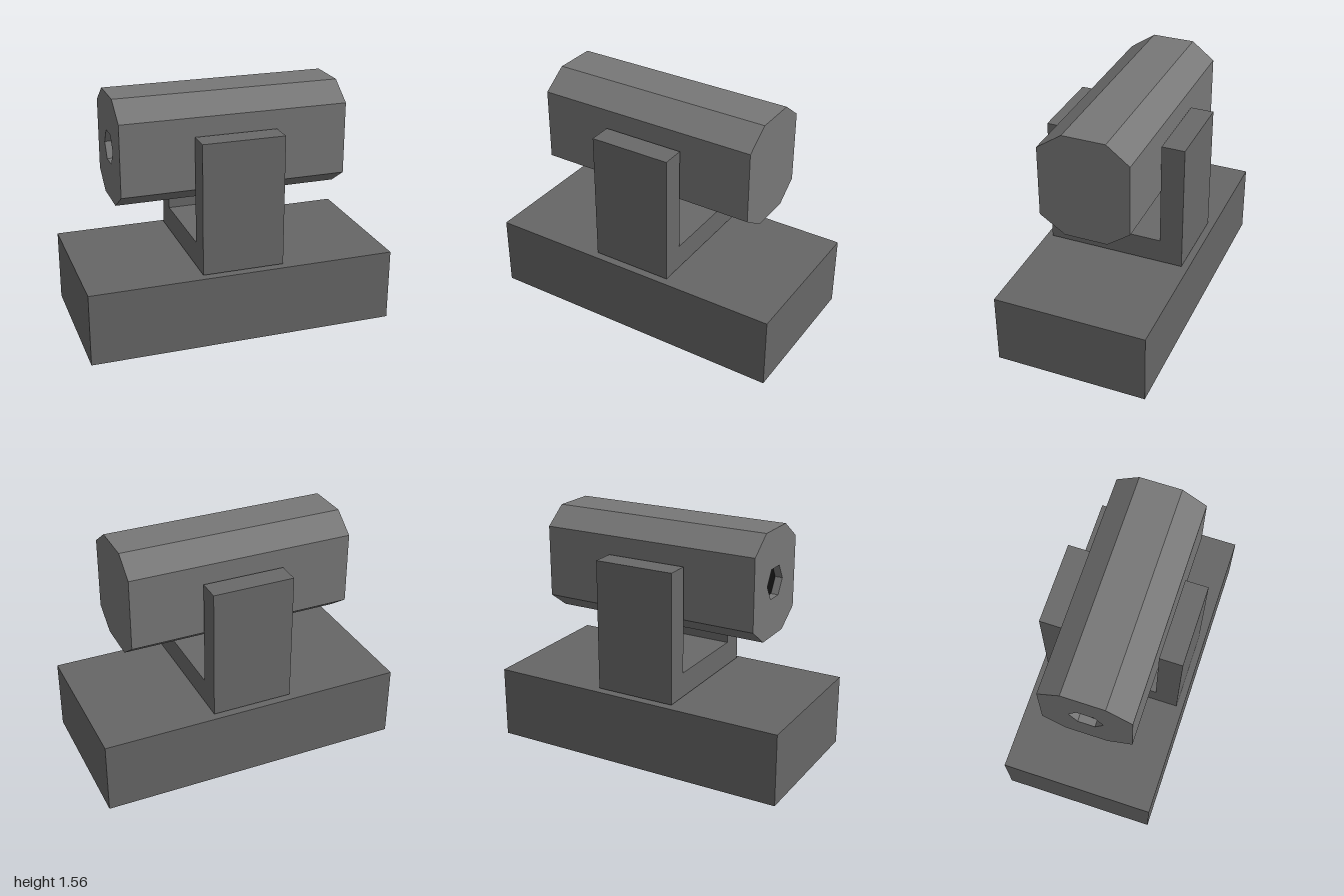
import * as THREE from 'three';

const paint = (color) => new THREE.MeshStandardMaterial({ color, flatShading: true });
const baseGrey = paint(0x666666);
const yokeGrey = paint(0x696969);
const barrelGrey = paint(0x777777);
const black = paint(0x111111);

// Extrudes a [z, y] profile along x, from x0 to x1
function extrudeAlongX(name, material, points, x0, x1, hole) {
  const toVectors = (list) => list.map(([z, y]) => new THREE.Vector2(-z, y));
  const shape = new THREE.Shape(toVectors(points));
  if (hole) shape.holes.push(new THREE.Path(toVectors(hole)));
  const geometry = new THREE.ExtrudeGeometry(shape, { depth: x1 - x0, bevelEnabled: false });
  geometry.rotateY(Math.PI / 2).translate(x0, 0, 0);
  const mesh = new THREE.Mesh(geometry, material);
  mesh.name = name;
  return mesh;
}

export function createModel() {
  const model = new THREE.Group();
  model.name = 'mountedBarrel';

  // Base block
  const base = new THREE.Mesh(new THREE.BoxGeometry(2, 0.47, 0.994), baseGrey);
  base.name = 'base';
  base.position.y = 0.235;
  model.add(base);

  // U-shaped yoke, floating just above the base
  model.add(extrudeAlongX('yoke', yokeGrey, [
    [-0.453, 0.477], [0.453, 0.477], [0.453, 1.328], [0.304, 1.328],
    [0.304, 0.638], [-0.304, 0.638], [-0.304, 1.328], [-0.453, 1.328],
  ], -0.265, 0.265));

  // Eight-sided barrel with a shallow hexagonal recess in its -x end
  const octagon = [
    [0.13, 1.56], [0.292, 1.447], [0.292, 0.985], [0.13, 0.877],
    [-0.145, 0.877], [-0.292, 0.985], [-0.292, 1.447], [-0.145, 1.56],
  ];
  const radius = 0.11, centreY = 1.22, end = 0.73, depth = 0.05;
  const hexagon = Array.from({ length: 6 }, (_, i) => {
    const a = (i * Math.PI) / 3;
    return [radius * Math.cos(a), centreY + radius * Math.sin(a)];
  });
  const barrel = new THREE.Group();
  barrel.name = 'barrel';
  barrel.add(extrudeAlongX('barrelBody', barrelGrey, octagon, -end + depth, end));
  barrel.add(extrudeAlongX('barrelMouth', barrelGrey, octagon, -end, -end + depth, hexagon));

  // Black floor of the recess
  const floor = new THREE.Mesh(new THREE.CircleGeometry(radius, 6), black);
  floor.name = 'recessFloor';
  floor.rotation.y = -Math.PI / 2;
  floor.position.set(-end + depth - 0.002, centreY, 0);
  barrel.add(floor);
  model.add(barrel);

  return model;
}
